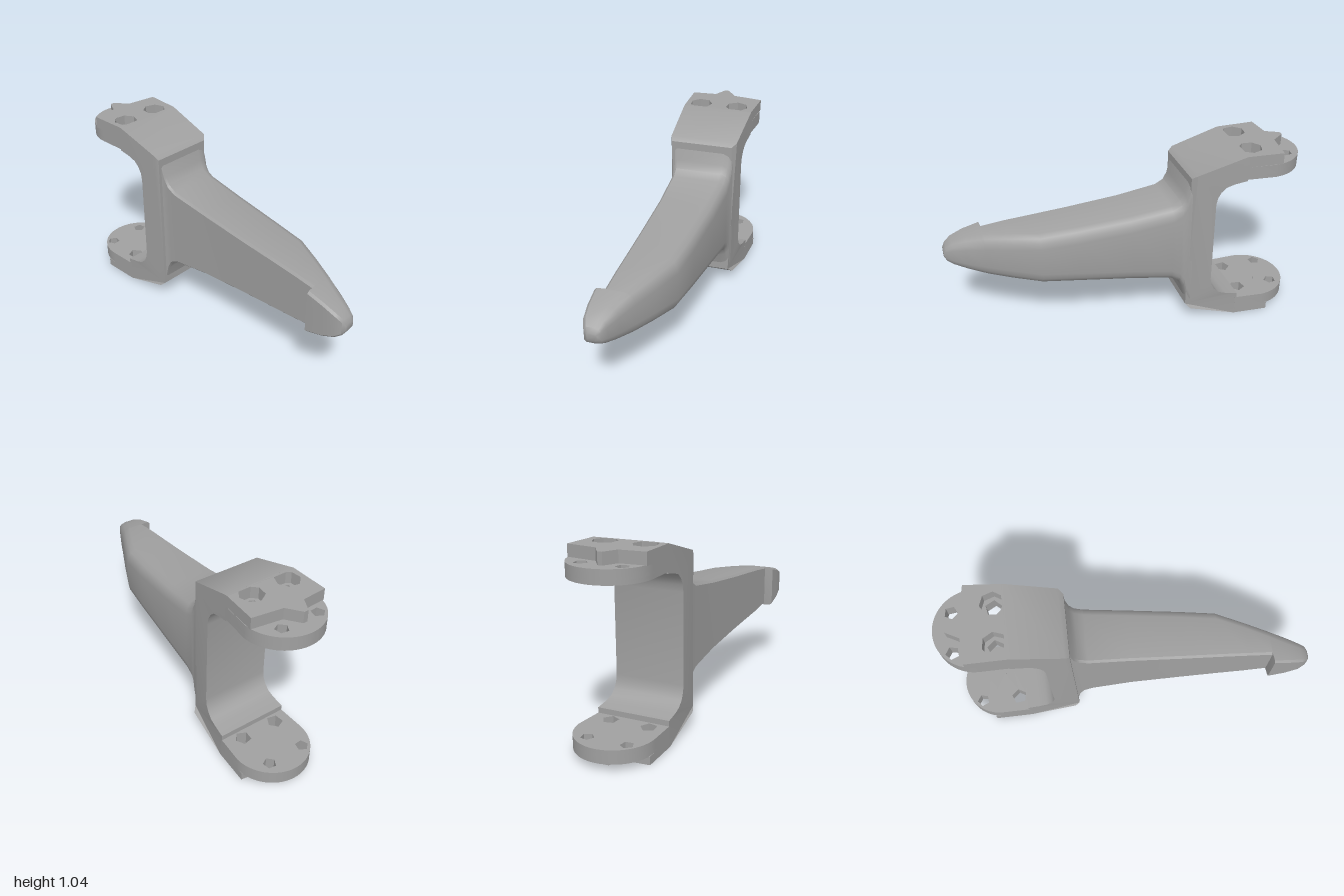
import * as THREE from 'three';
import { toCreasedNormals } from 'three/addons/utils/BufferGeometryUtils.js';

const H = 1.045, MID = H / 2;

// Right-hand edge of the bracket, widening towards the back
const rightEdge = (z) => 0.2 + Math.max(0, -z - 0.4) * 0.1;

// Lever arm: D-shaped sections lofted along z; [z, xMin, xMax, halfHeight]
function armGeometry() {
  const sections = [
    [-0.345, -0.168, 0.187, 0.43], [-0.318, -0.162, 0.182, 0.37], [-0.305, -0.158, 0.18, 0.31],
    [-0.28, -0.156, 0.178, 0.265], [-0.23, -0.156, 0.176, 0.237], [0, -0.158, 0.157, 0.203],
    [0.3, -0.17, 0.125, 0.172], [0.5, -0.178, 0.098, 0.155], [0.65, -0.185, 0.03, 0.142],
    [0.78, -0.19, -0.033, 0.126], [0.785, -0.24, -0.036, 0.125], [0.88, -0.24, -0.08, 0.1],
    [0.95, -0.235, -0.115, 0.072], [0.985, -0.222, -0.132, 0.046], [1.0, -0.203, -0.15, 0.02],
  ];
  const pos = [], idx = [];
  let n = 0;
  for (const [z, l, r, h] of sections) {
    const w = r - l, k = Math.min(0.055, w * 0.35), v = Math.min(0.075, h * 0.55), c = Math.min(0.012, h * 0.3);
    const half = [[r, h - v], [r - k * 0.12, h - v * 0.55], [r - k * 0.42, h - v * 0.2], [r - k, h], [l + c, h], [l, h - c]];
    const ring = [...half, ...half.map(([x, y]) => [x, -y]).reverse()];
    n = ring.length;
    for (const [x, y] of ring) pos.push(x, MID + y, z);
  }
  for (let i = 0; i < sections.length - 1; i++) {
    for (let j = 0; j < n; j++) {
      const a = i * n + j, b = i * n + (j + 1) % n;
      idx.push(a, b, b + n, a, b + n, a + n);
    }
  }
  const tip = (sections.length - 1) * n;
  for (let j = 1; j < n - 1; j++) idx.push(tip, tip + j, tip + j + 1);
  const g = new THREE.BufferGeometry();
  g.setAttribute('position', new THREE.Float32BufferAttribute(pos, 3));
  g.setIndex(idx);
  return toCreasedNormals(g, 0.6);
}

// C-shaped bracket: a (depth, height) profile extruded across x
function bracketGeometry() {
  const upper = [
    [0.32, 0.94], [0.345, 0.963], [0.62, H], [0.63, H], [0.63, 0.9], [0.56, 0.888],
    [0.515, 0.873], [0.485, 0.845], [0.467, 0.81], [0.46, 0.77],
  ];
  const lower = upper.map(([d, y]) => [d, H - y]).reverse();
  const shape = new THREE.Shape([...upper, ...lower].map((p) => new THREE.Vector2(...p)));
  const g = new THREE.ExtrudeGeometry(shape, { depth: 1, bevelEnabled: false });
  g.rotateY(Math.PI / 2);
  // Fit the sides to the taper and pull in the front corners
  const p = g.attributes.position;
  for (let i = 0; i < p.count; i++) {
    const z = p.getZ(i), inset = z > -0.33 ? 1 : 0;
    p.setX(i, p.getX(i) > 0.5 ? rightEdge(z) - 0.025 * inset : -0.19 + 0.01 * inset);
  }
  return toCreasedNormals(g, 0.5);
}

// Polygonal hole in a plan outline
function hole(x, z, r, sides, turn = 0) {
  const pts = [];
  for (let i = 0; i < sides; i++) {
    const a = turn + (i / sides) * Math.PI * 2;
    pts.push(new THREE.Vector2(x + r * Math.cos(a), z + r * Math.sin(a)));
  }
  return new THREE.Path(pts);
}

// Flat layer cut from a plan outline drawn in (x, z)
function layerGeometry(shape, y0, y1) {
  const g = new THREE.ExtrudeGeometry(shape, { depth: y1 - y0, bevelEnabled: false, curveSegments: 20 });
  g.rotateX(Math.PI / 2).translate(0, y1, 0);
  return toCreasedNormals(g, 0.5);
}

const HOLE_X = [-0.1, 0.12];

// Rounded pad outline with two large and two small holes
function padShape() {
  const s = new THREE.Shape();
  s.moveTo(-0.19, -0.62);
  s.lineTo(rightEdge(-0.62), -0.62);
  s.lineTo(0.24, -0.785);
  s.absarc(0.025, -0.785, 0.215, 0, -Math.PI, true);
  for (const x of HOLE_X) {
    s.holes.push(hole(x, -0.68, 0.045, 5, x), hole(x, -0.9, 0.036, 5, x * 4));
  }
  return s;
}

// Inner face of the pad, with a shallow groove across it
function padFaceShape() {
  const s = padShape();
  s.holes.push(new THREE.Path([
    [-0.13, -0.765], [-0.02, -0.755], [0.02, -0.735], [0.06, -0.755], [0.18, -0.765],
    [0.18, -0.81], [0.06, -0.815], [0.02, -0.85], [-0.02, -0.815], [-0.13, -0.81],
  ].map((p) => new THREE.Vector2(...p))));
  return s;
}

// Outer cover with a pointed back edge and large bolt recesses
function coverShape() {
  const s = new THREE.Shape([
    [-0.19, -0.62], [rightEdge(-0.62), -0.62], [0.24, -0.825], [0.07, -0.85], [0.015, -0.925],
    [-0.01, -0.925], [-0.05, -0.85], [-0.19, -0.84],
  ].map((p) => new THREE.Vector2(...p)));
  for (const x of HOLE_X) s.holes.push(hole(x, -0.68, 0.066, 7, x));
  return s;
}

export function createModel() {
  const model = new THREE.Group();
  model.name = 'leverBracket';
  const grey = new THREE.MeshStandardMaterial({ color: 0xa0a0a0 });
  grey.name = 'grey';
  const add = (name, geometry) => {
    const mesh = new THREE.Mesh(geometry, grey);
    mesh.name = name;
    model.add(mesh);
  };

  add('leverArm', armGeometry());
  add('bracket', bracketGeometry());

  // Upper jaw
  add('upperCover', layerGeometry(coverShape(), 0.98, H));
  add('upperPad', layerGeometry(padShape(), 0.93, 0.982));
  add('upperPadFace', layerGeometry(padFaceShape(), 0.908, 0.93));

  // Lower jaw
  add('lowerCover', layerGeometry(coverShape(), 0, 0.045));
  add('lowerPad', layerGeometry(padShape(), 0.042, 0.095));
  add('lowerPadFace', layerGeometry(padFaceShape(), 0.095, 0.115));

  return model;
}
